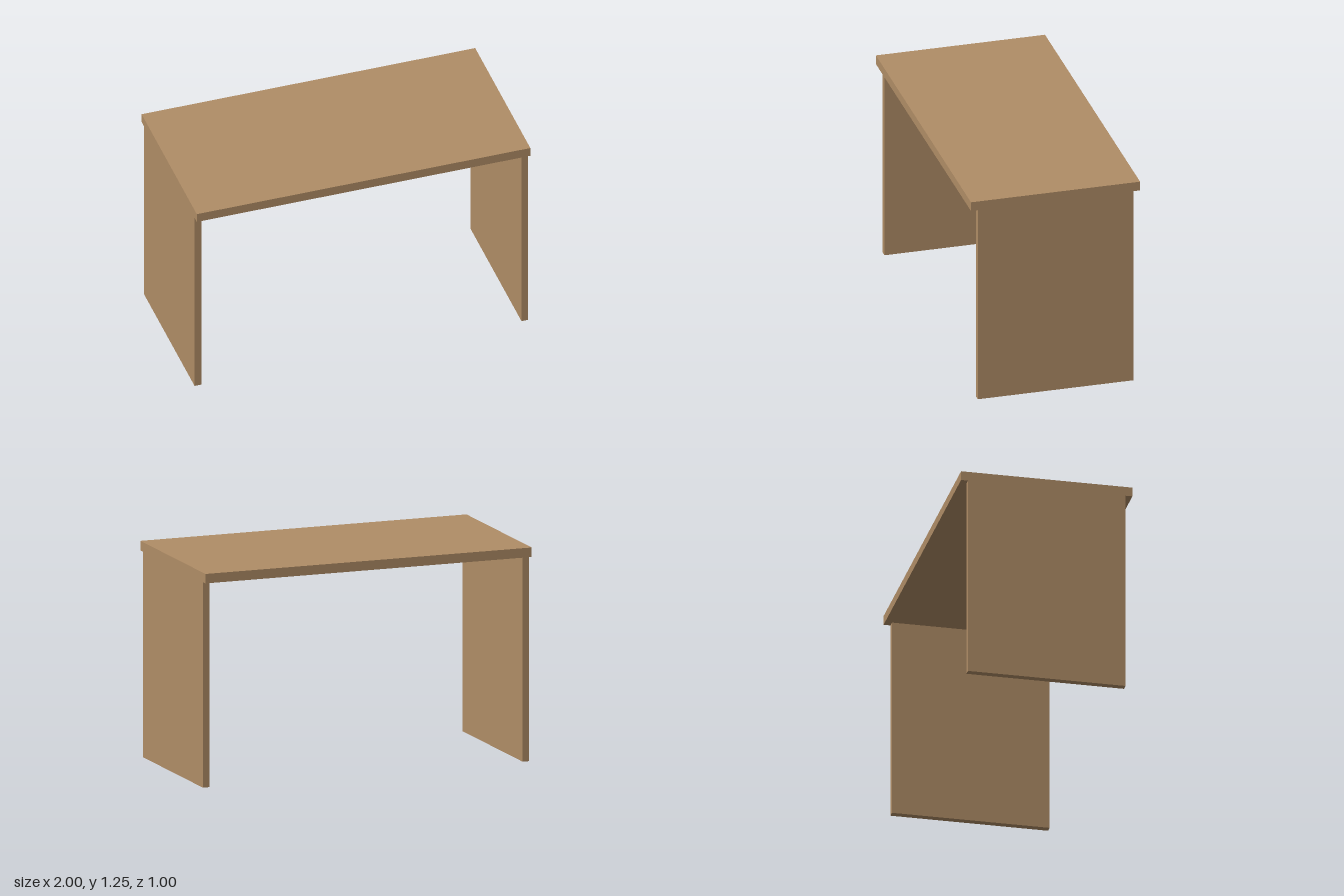
import * as THREE from 'three';

const WIDTH = 2, DEPTH = 1, HEIGHT = 1.25;
const TOP_THICKNESS = 0.055;
const PANEL_THICKNESS = 0.04, PANEL_DEPTH = 0.92;

export function createModel() {
  const desk = new THREE.Group();
  desk.name = 'desk';
  const wood = new THREE.MeshStandardMaterial({ color: 0xb08d66 });

  const addBoard = (name, w, h, d, x, y) => {
    const board = new THREE.Mesh(new THREE.BoxGeometry(w, h, d), wood);
    board.name = name;
    board.position.set(x, y, 0);
    desk.add(board);
  };

  // Desktop, overhanging the panels at front and back
  addBoard('desktop', WIDTH, TOP_THICKNESS, DEPTH, 0, HEIGHT - TOP_THICKNESS / 2);

  // Side panels, flush with the ends of the desktop
  const panelHeight = HEIGHT - TOP_THICKNESS;
  for (const [name, side] of [['leftPanel', 1], ['rightPanel', -1]]) {
    addBoard(name, PANEL_THICKNESS, panelHeight, PANEL_DEPTH,
      side * (WIDTH - PANEL_THICKNESS) / 2, panelHeight / 2);
  }

  return desk;
}
